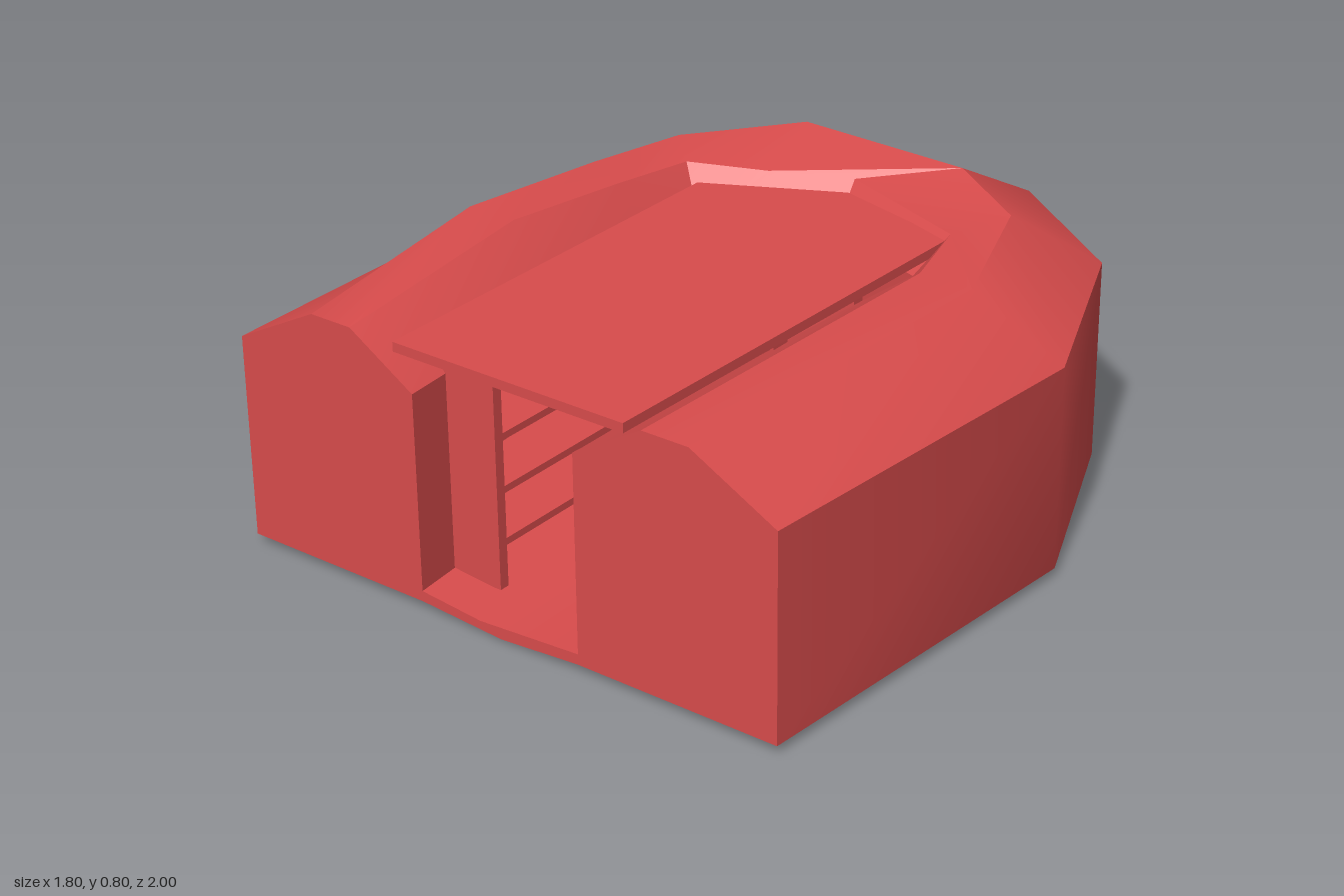
import * as THREE from 'three';
import { toCreasedNormals } from 'three/addons/utils/BufferGeometryUtils.js';

const material = new THREE.MeshStandardMaterial({ color: 0xd94c4c, side: THREE.DoubleSide });

// Skin closed cross-sections (clockwise seen from the front) and cap both ends
function loft(sections, crease) {
  const n = sections[0].length, last = (sections.length - 1) * n, index = [];
  for (let i = 0; i < sections.length - 1; i++) {
    for (let j = 0; j < n; j++) {
      const a = i * n + j, b = i * n + (j + 1) % n;
      index.push(a, b, a + n, a + n, b, b + n);
    }
  }
  for (let k = 1; k < n - 1; k++) {
    index.push(0, k + 1, k, last, last + k, last + k + 1);
  }
  const g = new THREE.BufferGeometry();
  g.setAttribute('position', new THREE.Float32BufferAttribute(sections.flat(2), 3));
  g.setIndex(index);
  return toCreasedNormals(g, crease);
}

// Horizontal plate from plan points [x, z], its top at height y
function plate(points, y, thickness) {
  const shape = new THREE.Shape(points.map(([x, z]) => new THREE.Vector2(x, z)));
  const g = new THREE.ExtrudeGeometry(shape, { depth: thickness, bevelEnabled: false });
  return g.rotateX(Math.PI / 2).translate(0, y, 0);
}

export function createModel() {
  const group = new THREE.Group();
  const add = (name, geometry, parent = group) => {
    const mesh = new THREE.Mesh(geometry, material);
    mesh.name = name;
    parent.add(mesh);
    return mesh;
  };
  // Box given by its limits
  const block = (name, x0, x1, y0, y1, z0, z1, parent) => {
    const g = new THREE.BoxGeometry(x1 - x0, y1 - y0, z1 - z0);
    g.translate((x0 + x1) / 2, (y0 + y1) / 2, (z0 + z1) / 2);
    return add(name, g, parent);
  };

  // Horseshoe mound: outer wall [x,z], outer crest [x,y,z], inner crest [x,y,z], inner wall [x,z]
  const stations = [
    [[-0.885, 1], [-0.63, 0.745, 1], [-0.5, 0.745, 1], [-0.3, 1]],
    [[-0.895, 0.35], [-0.67, 0.8, 0.35], [-0.52, 0.8, 0.35], [-0.35, 0.35]],
    [[-0.905, -0.15], [-0.63, 0.78, -0.12], [-0.49, 0.775, -0.05], [-0.38, -0.05]],
    [[-0.65, -0.68], [-0.57, 0.775, -0.42], [-0.45, 0.765, -0.3], [-0.36, -0.24]],
    [[-0.32, -0.89], [-0.31, 0.795, -0.675], [-0.25, 0.75, -0.41], [-0.2, -0.33]],
    [[0.23, -1], [0.2, 0.775, -0.695], [-0.04, 0.74, -0.525], [-0.03, -0.42]],
    [[0.65, -0.7], [0.45, 0.75, -0.55], [0.37, 0.735, -0.38], [0.3, -0.31]],
    [[0.9, -0.1], [0.62, 0.75, -0.1], [0.46, 0.75, -0.1], [0.28, -0.1]],
    [[0.815, 1], [0.56, 0.745, 1], [0.42, 0.745, 1], [0.21, 1]],
  ];
  add('earthMound', loft(stations.map(([o, co, ci, i]) => [
    [o[0], 0.03, o[1]], [o[0], 0.61, o[1]], co, ci, [i[0], 0.62, i[1]], [i[0], 0.03, i[1]],
  ]), 0.5));

  // Base closing the underside of the chamber
  add('chamberBase', plate(stations.map((s) => s[3]), 0.033, 0.003));

  // Shallow V-shaped floor rising to the back: z, left, right, edge top, middle top, middle bottom
  const floor = [
    [1, -0.3, 0.21, 0.06, 0.035, 0.012],
    [0.17, -0.36, 0.27, 0.075, 0.06, 0.004],
    [0.06, -0.37, 0.28, 0.08, 0.065, 0.032],
    [-0.3, -0.3, 0.25, 0.1, 0.09, 0.06],
    [-0.4, -0.06, 0.02, 0.1, 0.1, 0.07],
  ];
  add('floor', loft(floor.map(([z, l, r, top, mid, low]) => {
    const bottom = Math.max(0.03, low);
    return [[l, bottom, z], [l, top, z], [-0.04, mid, z], [r, top, z], [r, bottom, z], [-0.04, low, z]];
  }), 0.2));

  // Flat roof slab, its back end sunk into the mound
  add('roofSlab', plate([
    [-0.4, 0.955], [-0.405, -0.29], [-0.03, -0.48], [0.36, -0.38], [0.33, 0.955],
  ], 0.717, 0.027));

  // Cross beams under the slab
  for (const z of [0.8, 0.3, -0.2]) block('roofBeam', -0.37, 0.31, 0.655, 0.69, z - 0.03, z + 0.03);

  // Shelving along the right wall of the chamber
  const shelving = new THREE.Group();
  shelving.name = 'shelving';
  group.add(shelving);
  for (const z of [0.85, 0.35, -0.15]) {
    block('shelfUpright', -0.36, -0.155, 0.05, 0.69, z - 0.015, z + 0.015, shelving);
  }
  for (const y of [0.17, 0.32, 0.47, 0.61]) {
    block('shelfBoard', -0.37, -0.165, y - 0.01, y + 0.01, -0.15, 0.85, shelving);
  }

  // Posts along the left wall
  for (const z of [0.7, 0.3, -0.1]) block('wallPost', 0.18, 0.27, 0.05, 0.69, z - 0.02, z + 0.02);

  return group;
}
